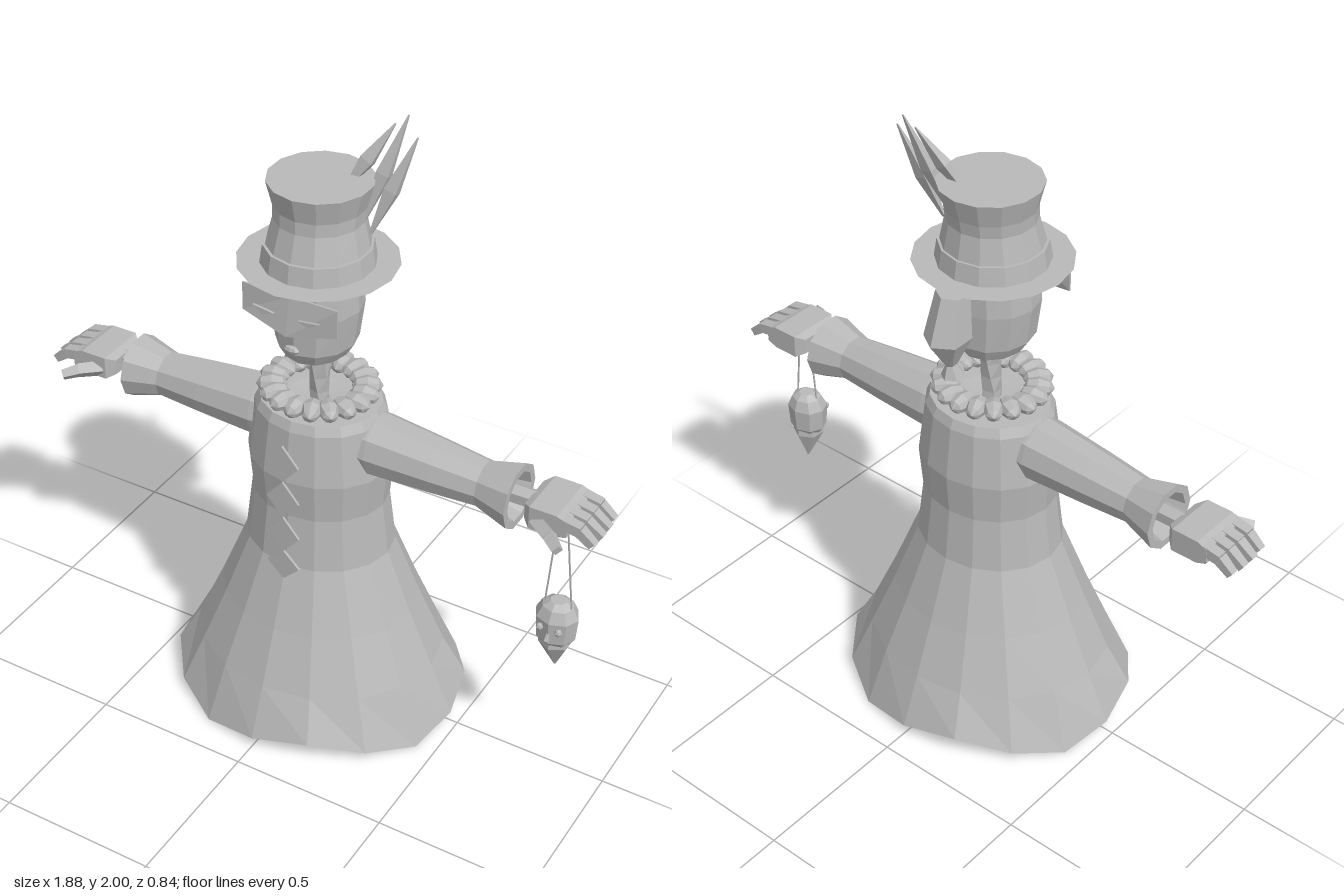
import * as THREE from 'three';

const V2 = (x, y) => new THREE.Vector2(x, y);
const V3 = (a) => new THREE.Vector3(...a);

export function createModel() {
  const model = new THREE.Group();
  const grey = new THREE.MeshStandardMaterial({ color: 0xb8b8b8, flatShading: true, side: THREE.DoubleSide });
  grey.name = 'plainGrey';

  const add = (name, geo, parent = model) => {
    const mesh = new THREE.Mesh(geo, grey);
    mesh.name = name;
    parent.add(mesh);
    return mesh;
  };
  const lathe = (pts, sides) => new THREE.LatheGeometry(pts.map(([r, y]) => V2(r, y)), sides);
  // faceted bar between two points
  const bar = (a, b, r0, r1, sides = 4, flat = 1) => {
    const p = V3(a), q = V3(b), d = q.clone().sub(p);
    const g = new THREE.CylinderGeometry(r1, r0, d.length(), sides, 1);
    g.rotateY(Math.PI / sides);
    g.scale(1, 1, flat);
    g.applyQuaternion(new THREE.Quaternion().setFromUnitVectors(new THREE.Vector3(0, 1, 0), d.normalize()));
    g.translate(...p.add(q).multiplyScalar(0.5).toArray());
    return g;
  };
  // closed loft through rings of [y, halfX, halfZ, centreX, centreZ]
  const loft = (rings, sides) => {
    const pos = [], idx = [];
    rings.forEach(([y, rx, rz, cx = 0, cz = 0]) => {
      for (let i = 0; i < sides; i++) {
        const t = (i / sides) * Math.PI * 2;
        pos.push(cx + rx * Math.sin(t), y, cz + rz * Math.cos(t));
      }
    });
    for (let k = 0; k < rings.length - 1; k++)
      for (let i = 0; i < sides; i++) {
        const a = k * sides + i, b = k * sides + ((i + 1) % sides);
        idx.push(a, b, b + sides, a, b + sides, a + sides);
      }
    const top = (rings.length - 1) * sides;
    for (let i = 1; i < sides - 1; i++) idx.push(0, i + 1, i, top, top + i, top + i + 1);
    const g = new THREE.BufferGeometry();
    g.setAttribute('position', new THREE.Float32BufferAttribute(pos, 3));
    g.setIndex(idx);
    g.computeVertexNormals();
    return g;
  };

  // robe with a waving hem and an inner lining
  const robe = lathe([[0.2, 0.57], [0.44, 0.07], [0.475, 0.037], [0.4, 0.2], [0.32, 0.38], [0.237, 0.585],
    [0.216, 0.76], [0.228, 0.89], [0.205, 1.06], [0.19, 1.09], [0.1, 1.09], [0, 1.08]], 16);
  const rp = robe.attributes.position;
  for (let i = 0; i < rp.count; i++) {
    if (rp.getY(i) < 0.1) {
      const t = Math.atan2(rp.getX(i), rp.getZ(i));
      rp.setY(i, rp.getY(i) + 0.033 * Math.sin(4 * t));
    }
    rp.setZ(i, rp.getZ(i) * 0.885);
  }
  add('robe', robe);

  // diamond trims down the chest
  for (let i = 0; i < 4; i++) {
    const h = i < 3 ? 0.064 : 0.054, s = new THREE.Shape([V2(0, -h), V2(0.055, 0), V2(0, h), V2(-0.055, 0)]);
    const d = add('chestDiamond', new THREE.ExtrudeGeometry(s, { depth: 0.008, bevelEnabled: false }));
    d.position.set(0, [0.97, 0.84, 0.71, 0.595][i], 0.216);
  }

  // beaded collar
  for (let i = 0; i < 18; i++) {
    const t = (i / 18) * Math.PI * 2;
    const g = new THREE.SphereGeometry(1, 8, 4);
    g.rotateX(Math.PI / 2).scale(0.032, 0.03, 0.047);
    const b = add('collarBead', g);
    b.position.set(0.143 * Math.sin(t), 1.128, 0.008 + 0.135 * Math.cos(t));
    b.rotation.y = t;
  }

  // twisted neck
  const neck = new THREE.CylinderGeometry(0.034, 0.03, 0.2, 5, 4);
  const np = neck.attributes.position;
  for (let i = 0; i < np.count; i++) {
    const a = np.getY(i) * 6, x = np.getX(i), z = np.getZ(i);
    np.setX(i, x * Math.cos(a) - z * Math.sin(a));
    np.setZ(i, x * Math.sin(a) + z * Math.cos(a));
  }
  add('neck', neck).position.set(-0.002, 1.16, 0.003);

  // head
  add('head', loft([[1.245, 0.06, 0.065, 0, 0.015], [1.27, 0.095, 0.11, 0, 0.018], [1.31, 0.12, 0.13, 0, 0.02],
    [1.43, 0.138, 0.137, 0, 0.02], [1.53, 0.13, 0.135, 0, 0.02], [1.59, 0.11, 0.11, 0, 0.02]], 12));

  // half mask, folded at the nose
  for (const s of [-1, 1]) {
    const shape = new THREE.Shape([V2(0, 1.398), V2(s * 0.155, 1.43), V2(s * 0.155, 1.52), V2(0, 1.52)]);
    const g = new THREE.ExtrudeGeometry(shape, { depth: 0.006, bevelEnabled: false });
    const p = g.attributes.position;
    for (let i = 0; i < p.count; i++)
      p.setZ(i, p.getZ(i) + 0.168 + (Math.abs(p.getX(i)) < 0.01 && p.getY(i) < 1.45 ? 0.022 : 0));
    add('mask', g);
    const eye = new THREE.Shape([V2(s * 0.04, 1.463), V2(s * 0.075, 1.45), V2(s * 0.108, 1.472), V2(s * 0.075, 1.468)]);
    add('maskEye', new THREE.ExtrudeGeometry(eye, { depth: 0.008, bevelEnabled: false })).position.z = 0.188;
  }
  const mouth = add('mouth', new THREE.SphereGeometry(1, 8, 4));
  mouth.scale.set(0.026, 0.013, 0.012);
  mouth.position.set(0, 1.337, 0.164);

  // tied hair at the back
  add('ponytail', loft([[1.246, 0.035, 0.038, 0, -0.165], [1.288, 0.014, 0.02, 0, -0.172], [1.39, 0.068, 0.075, 0, -0.186],
    [1.53, 0.05, 0.05, 0, -0.162]], 6));

  // hat: crown, band and flat brim
  add('hatCrown', loft([[1.56, 0.16, 0.16, 0, 0.016], [1.62, 0.152, 0.152, 0, 0.013], [1.7, 0.133, 0.133, 0, 0.008],
    [1.74, 0.135, 0.135, 0, 0.004], [1.815, 0.155, 0.155, 0, 0.002]], 14));
  add('hatBand', lathe([[0.169, 1.56], [0.16, 1.62], [0.15, 1.62]], 14)).position.z = 0.014;
  const brim = add('hatBrim', new THREE.RingGeometry(0.12, 0.236, 16));
  brim.rotation.x = -Math.PI / 2;
  brim.position.set(0, 1.562, 0.014);

  // feathers
  [[[0.05, 1.77, -0.045], [0.165, 1.97, -0.12]], [[0.115, 1.69, -0.04], [0.2, 2, -0.13]],
    [[0.14, 1.66, -0.035], [0.24, 1.95, -0.11]]].forEach(([a, b]) => {
    const m = V3(a).lerp(V3(b), 0.45).toArray();
    add('feather', bar(a, m, 0.006, 0.028, 4, 0.7));
    add('feather', bar(m, b, 0.028, 0.003, 4, 0.7));
  });

  // arms and hands, mirrored
  for (const s of [1, -1]) {
    const arm = new THREE.Group();
    arm.name = s > 0 ? 'leftArm' : 'rightArm';
    arm.scale.x = s;
    model.add(arm);
    const sleeve = lathe([[0.095, 0.12], [0.099, 0.2], [0.085, 0.4], [0.072, 0.55], [0.103, 0.66], [0.078, 0.66], [0.055, 0.56],
      [0, 0.56]], 10);
    sleeve.rotateZ(-Math.PI / 2);
    const sp = sleeve.attributes.position;
    for (let i = 0; i < sp.count; i++) sp.setY(i, sp.getY(i) + 0.985 - 0.035 * Math.max(0, sp.getX(i) - 0.1));
    add('sleeve', sleeve, arm);
    add('wrist', bar([0.54, 0.972, 0], [0.74, 0.974, 0], 0.032, 0.03, 6), arm);

    // palm with tapered ends
    const palm = loft([[0.705, 0.035, 0.085], [0.73, 0.052, 0.115], [0.815, 0.052, 0.122], [0.848, 0.034, 0.118]], 4);
    palm.rotateX(0).rotateZ(-Math.PI / 2);
    const pp = palm.attributes.position;
    for (let i = 0; i < pp.count; i++) { // turn the diamond section into a slab
      const y = pp.getY(i), z = pp.getZ(i), h = Math.abs(y) > 1e-4;
      const k = h ? Math.abs(y) : (pp.getX(i) < 0.71 || pp.getX(i) > 0.84 ? 0.034 : 0.052);
      const w = pp.getX(i) < 0.71 ? 0.06 : 0.085;
      const sy = h ? Math.sign(y) : Math.sign(z), sz = h ? -Math.sign(y) : Math.sign(z);
      pp.setY(i, 0.974 + sy * k * 0.72);
      pp.setZ(i, sz * w);
    }
    add('palm', palm, arm);

    for (let f = 0; f < 4; f++) {
      const z = -0.067 + f * 0.045, e = f === 0 || f === 3 ? 0.925 : 0.932;
      add('finger', bar([0.83, 0.988, z], [0.885, 0.978, z], 0.024, 0.023, 4), arm);
      add('finger', bar([0.88, 0.978, z], [e, 0.943, z], 0.022, 0.018, 4), arm);
    }
    add('thumb', bar([0.75, 0.962, 0.07], [0.81, 0.958, 0.115], 0.026, 0.024, 4), arm);
    add('thumb', bar([0.805, 0.958, 0.108], [0.85, 0.945, 0.145], 0.024, 0.018, 4), arm);
  }

  // hanging charm: strings, little head and pointed beard
  const charm = new THREE.Group();
  charm.name = 'charm';
  model.add(charm);
  for (const s of [-1, 1]) {
    add('string', bar([0.822 + s * 0.016, 0.96, 0.05], [0.828 + s * 0.044, 0.65, 0.05], 0.003, 0.003), charm);
    const eye = add('charmEye', new THREE.SphereGeometry(0.012, 6, 4), charm);
    eye.position.set(0.826 + s * 0.03, 0.612, 0.101);
  }
  add('charmNose', bar([0.826, 0.6, 0.098], [0.826, 0.575, 0.112], 0.006, 0.009), charm);
  add('charmHead', loft([[0.525, 0.035, 0.03, 0.826, 0.047], [0.56, 0.062, 0.056, 0.826, 0.047], [0.635, 0.068, 0.06, 0.826, 0.047],
    [0.67, 0.05, 0.045, 0.826, 0.045], [0.685, 0.025, 0.024, 0.826, 0.045]], 8));
  add('charmBeard', loft([[0.433, 0.003, 0.003, 0.826, 0.036], [0.53, 0.052, 0.05, 0.826, 0.045], [0.555, 0.05, 0.048, 0.826, 0.045]], 6));

  return model;
}
